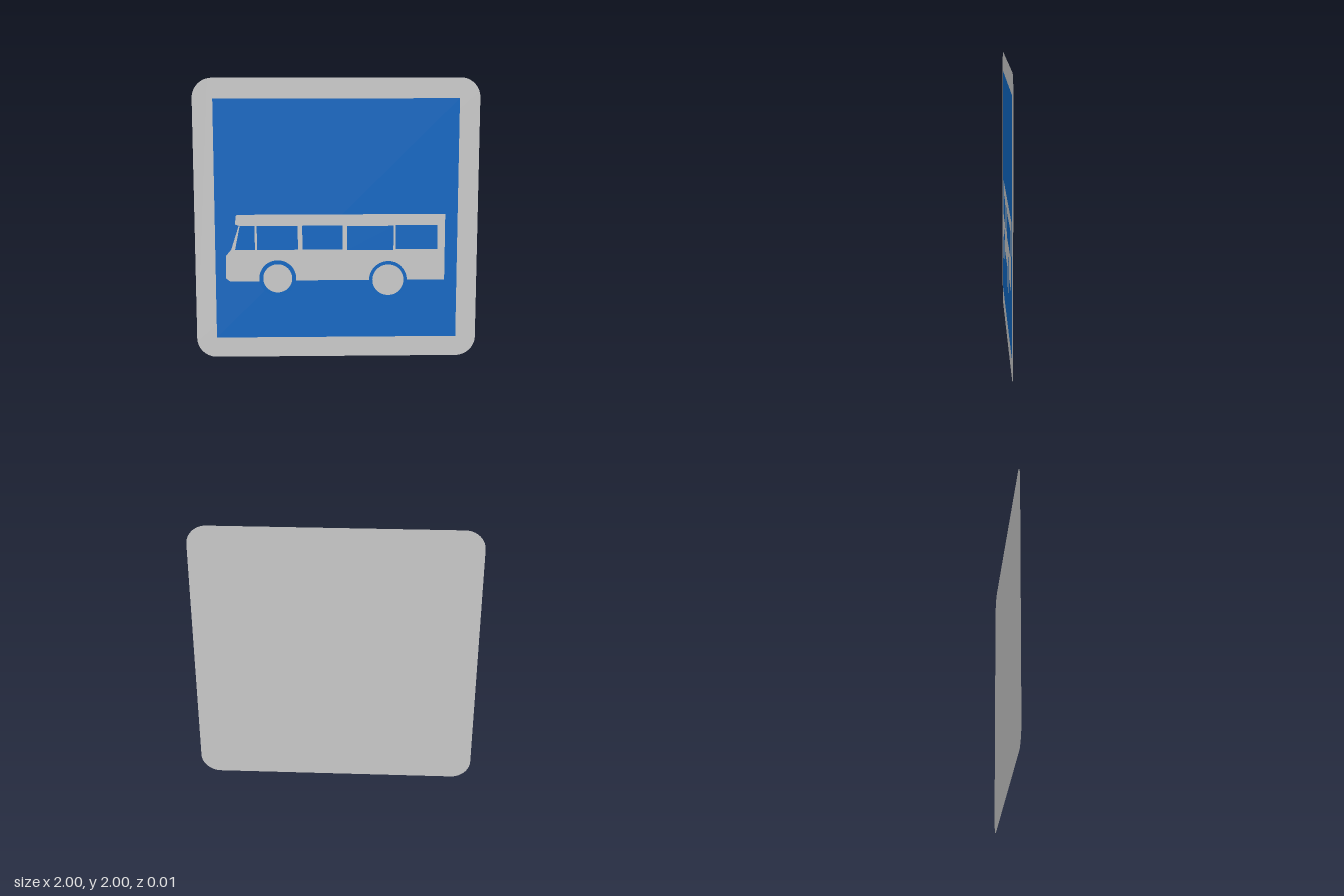
import * as THREE from 'three';

const grey = new THREE.MeshStandardMaterial({ color: 0xcccccc, side: THREE.DoubleSide });
const blue = new THREE.MeshStandardMaterial({ color: 0x0e68c4, side: THREE.DoubleSide });

export function createModel() {
  const model = new THREE.Group();

  // One thin flat layer facing the front
  const addLayer = (name, geometry, material, z, x = 0, y = 0) => {
    const mesh = new THREE.Mesh(geometry, material);
    mesh.name = name;
    mesh.position.set(x, y, z);
    model.add(mesh);
  };
  const polygon = (points) =>
    new THREE.ShapeGeometry(new THREE.Shape(points.map(([x, y]) => new THREE.Vector2(x, y))));

  // Rounded sign plate
  const r = 0.14;
  const plate = new THREE.Shape();
  plate.absarc(1 - r, 2 - r, r, 0, Math.PI / 2);
  plate.absarc(-1 + r, 2 - r, r, Math.PI / 2, Math.PI);
  plate.absarc(-1 + r, r, r, Math.PI, Math.PI * 1.5);
  plate.absarc(1 - r, r, r, Math.PI * 1.5, Math.PI * 2);
  addLayer('signPlate', new THREE.ShapeGeometry(plate, 16), grey, -0.005);

  // Blue field
  addLayer('bluePanel', new THREE.PlaneGeometry(1.716, 1.712), blue, -0.0035, 0, 1);

  // Bus silhouette with roof overhang and sloping windscreen
  addLayer('busBody', polygon([
    [-0.785, 0.58], [-0.755, 0.557], [-0.54, 0.557], [-0.28, 0.563], [0.77, 0.563],
    [0.77, 1.04], [-0.7, 1.04], [-0.71, 1.03], [-0.716, 0.97], [-0.69, 0.962],
    [-0.745, 0.79], [-0.782, 0.745],
  ]), grey, -0.002);

  // Windows: top left, top right, bottom left x; top and bottom y
  const windows = [
    [-0.683, -0.578, -0.718, 0.96, 0.787],
    [-0.563, -0.274, -0.563, 0.96, 0.787],
    [-0.242, 0.044, -0.242, 0.96, 0.787],
    [0.074, 0.403, 0.074, 0.957, 0.783],
    [0.419, 0.717, 0.419, 0.962, 0.787],
  ];
  windows.forEach(([left, right, bottomLeft, top, bottom], i) => {
    addLayer(`window${i + 1}`,
      polygon([[bottomLeft, bottom], [right, bottom], [right, top], [left, top]]), blue, 0.001);
  });

  // Wheels inside blue wheel arches
  const wheels = [
    ['front', -0.418, 0.58, 0.103, 0.131, 0.005],
    ['rear', 0.367, 0.565, 0.112, 0.136, 0.003],
  ];
  for (const [end, x, y, wheelRadius, archRadius, z] of wheels) {
    addLayer(`${end}WheelArch`, new THREE.CircleGeometry(archRadius, 48), blue, 0.001, x, y);
    addLayer(`${end}Wheel`, new THREE.CircleGeometry(wheelRadius, 48), grey, z, x, y);
  }

  return model;
}
